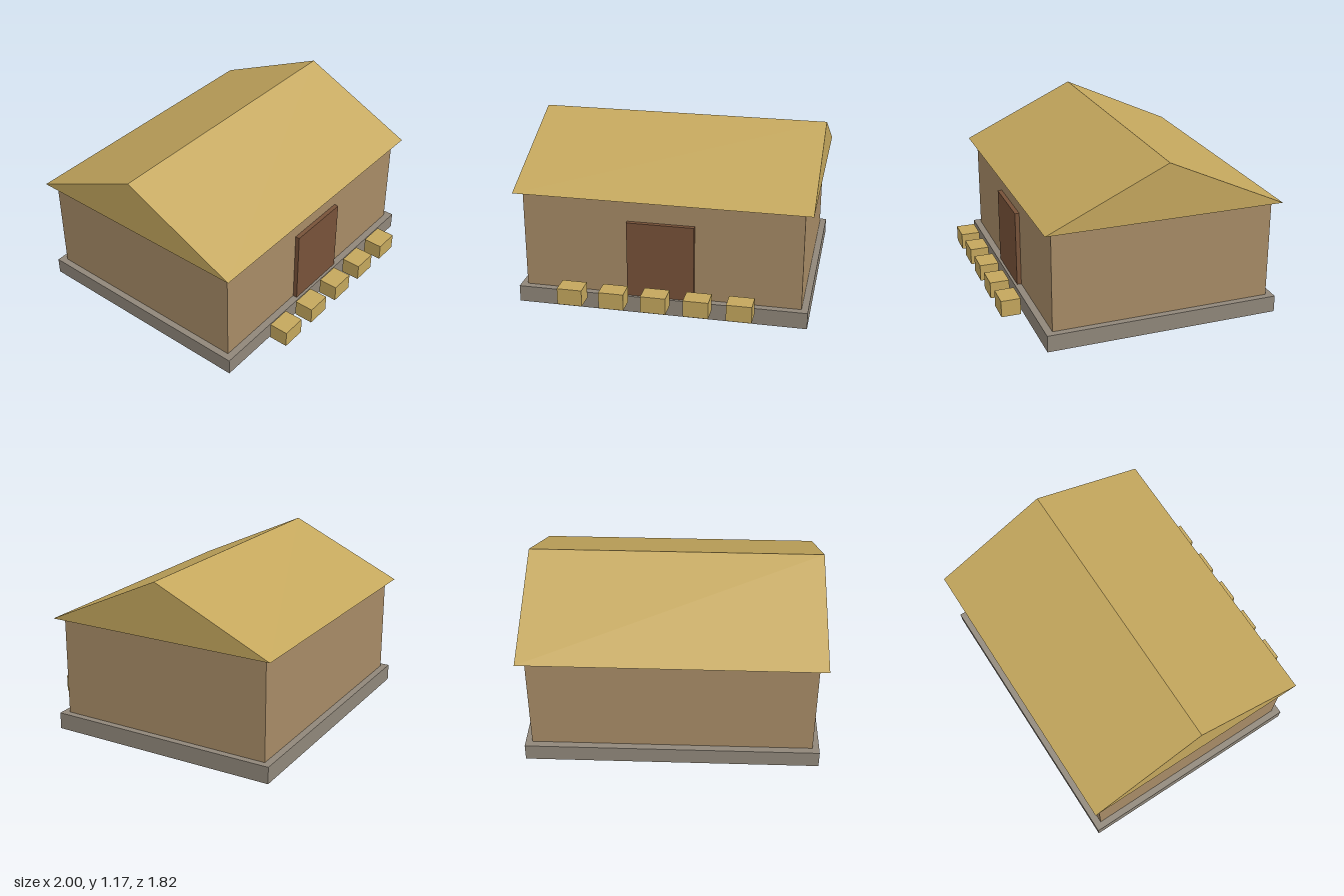
import * as THREE from 'three';

function material(name, color) {
  const m = new THREE.MeshStandardMaterial({ color });
  m.name = name;
  return m;
}

export function createModel() {
  const group = new THREE.Group();
  group.name = 'barn';
  const straw = material('straw', 0xc4a75d);
  const clay = material('clay', 0xa78b66);
  const stone = material('stone', 0x90877a);
  const wood = material('darkWood', 0x775239);

  // Box given by its lower and upper limits on each axis
  const box = (name, mat, [x0, x1], [y0, y1], [z0, z1]) => {
    const mesh = new THREE.Mesh(new THREE.BoxGeometry(x1 - x0, y1 - y0, z1 - z0), mat);
    mesh.position.set((x0 + x1) / 2, (y0 + y1) / 2, (z0 + z1) / 2);
    mesh.name = name;
    group.add(mesh);
  };

  const floorY = 0.115, eaveY = 0.8, ridgeY = 1.175, midZ = -0.1;

  box('foundation', stone, [-0.99, 0.99], [0, floorY], [-0.905, 0.705]);
  box('walls', clay, [-0.945, 0.945], [floorY, eaveY], [-0.857, 0.657]);
  box('door', wood, [-0.228, 0.228], [floorY, 0.645], [0.65, 0.687]);

  // Gable roof: triangular profile extruded along x
  const gable = new THREE.Shape([
    new THREE.Vector2(-0.81, eaveY),
    new THREE.Vector2(0.81, eaveY),
    new THREE.Vector2(0, ridgeY),
  ]);
  const roofGeometry = new THREE.ExtrudeGeometry(gable, { depth: 2, bevelEnabled: false });
  roofGeometry.translate(0, 0, -1).rotateY(Math.PI / 2).translate(0, 0, midZ);
  const roof = new THREE.Mesh(roofGeometry, straw);
  roof.name = 'roof';
  group.add(roof);

  // Row of straw bales in front of the door
  for (let i = -2; i <= 2; i++) {
    const x = i * 0.283;
    box('bale', straw, [x - 0.084, x + 0.084], [floorY, 0.229], [0.779, 0.91]);
  }
  return group;
}
